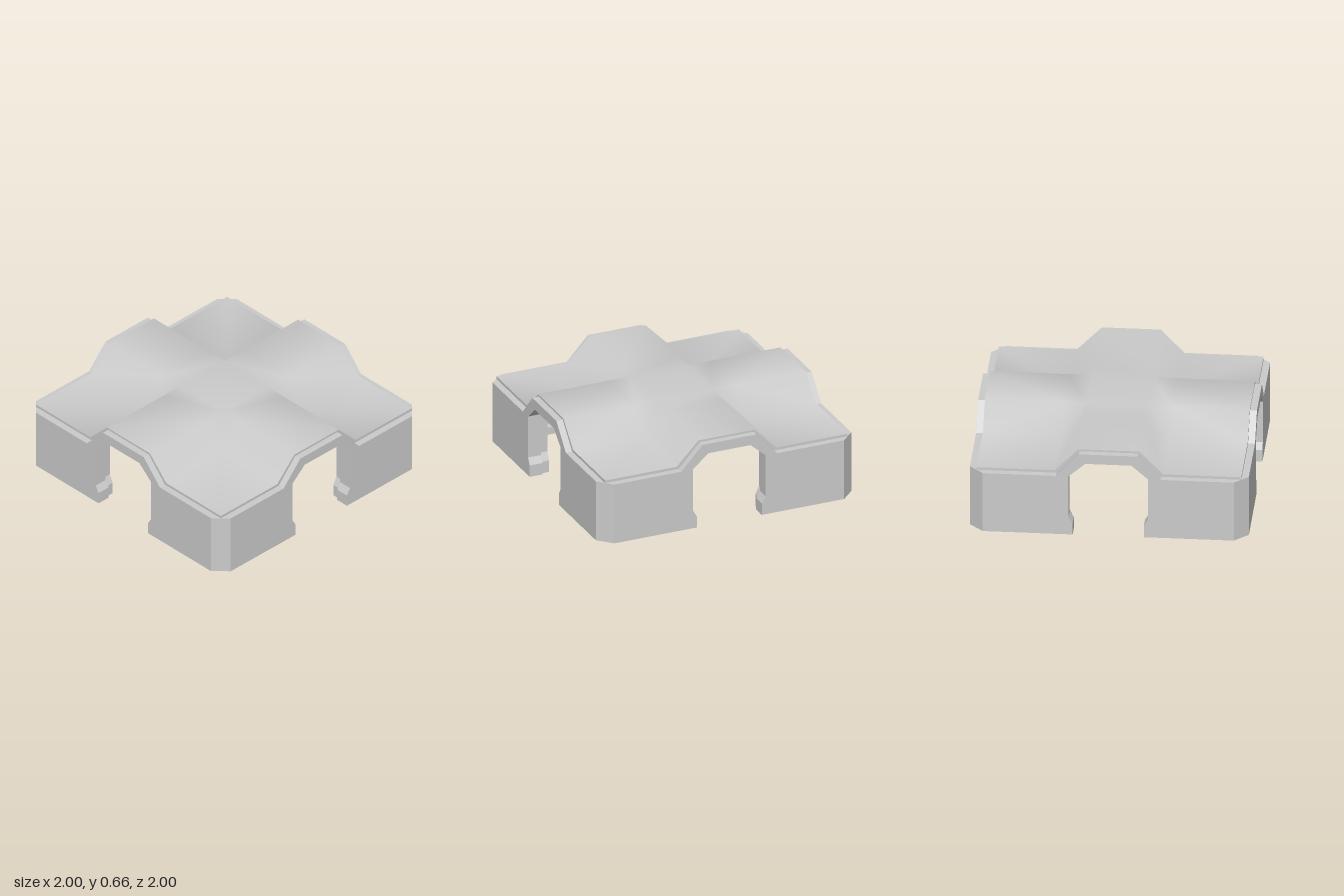
import * as THREE from 'three';

const grey = new THREE.MeshStandardMaterial({ color: 0xcccccc });
const greyDouble = new THREE.MeshStandardMaterial({ color: 0xcccccc, side: THREE.DoubleSide });

function add(parent, name, geometry, material = grey) {
  const mesh = new THREE.Mesh(geometry, material);
  mesh.name = name;
  parent.add(mesh);
  return mesh;
}

// Mirror a right-hand outline across x = 0 to close it
function mirrored(half) {
  return [...half, ...half.map(([x, y]) => [-x, y]).reverse()];
}

function extrude(points, z0, z1) {
  const shape = new THREE.Shape(points.map(([x, y]) => new THREE.Vector2(x, y)));
  return new THREE.ExtrudeGeometry(shape, { depth: z1 - z0, bevelEnabled: false }).translate(0, 0, z0);
}

// Upright prism from a plan outline given as [x, z]
function prism(plan, y0, y1) {
  return extrude(plan.map(([x, z]) => [x, -z]), y0, y1).rotateX(-Math.PI / 2);
}

function box(x0, x1, y0, y1, z0, z1) {
  return new THREE.BoxGeometry(x1 - x0, y1 - y0, z1 - z0)
    .translate((x0 + x1) / 2, (y0 + y1) / 2, (z0 + z1) / 2);
}

// Two crossing ridges: grid lines sit on the slope breaks, height is the higher ridge
const EDGE = 0.95;
function crossSurface(inner, outer, low, high) {
  const t = [-EDGE, -outer, -inner, inner, outer, EDGE];
  const ridge = v => {
    const k = THREE.MathUtils.clamp((Math.abs(v) - inner) / (outer - inner), 0, 1);
    return THREE.MathUtils.lerp(high, low, k);
  };
  const n = t.length, points = [], index = [];
  for (const x of t) for (const z of t) points.push([x, Math.max(ridge(x), ridge(z)), z]);
  for (let i = 0; i < n - 1; i++) for (let j = 0; j < n - 1; j++) {
    const a = i * n + j, b = a + 1, d = a + n, c = d + 1;
    const sameSign = (t[i] + t[i + 1]) * (t[j] + t[j + 1]) >= 0;
    if (sameSign) index.push(a, b, c, a, c, d);
    else index.push(a, b, d, b, c, d);
  }
  return { points, index, n };
}

function surfaceGeometry({ points, index }, flip) {
  const g = new THREE.BufferGeometry();
  g.setAttribute('position', new THREE.Float32BufferAttribute(points.flat(), 3));
  g.setIndex(flip ? [...index].reverse() : index);
  g.computeVertexNormals();
  return g;
}

// Narrow strip closing the roof slab around its four edges
function rimGeometry(top, bottom) {
  const n = top.n, loop = [], pos = [];
  for (let k = 0; k < n - 1; k++) loop.push(k);
  for (let k = 0; k < n - 1; k++) loop.push(k * n + n - 1);
  for (let k = n - 1; k > 0; k--) loop.push((n - 1) * n + k);
  for (let k = n - 1; k > 0; k--) loop.push(k * n);
  loop.forEach((p, k) => {
    const q = loop[(k + 1) % loop.length];
    const a = bottom.points[p], b = bottom.points[q], c = top.points[q], d = top.points[p];
    pos.push(...a, ...b, ...c, ...a, ...c, ...d);
  });
  const g = new THREE.BufferGeometry();
  g.setAttribute('position', new THREE.Float32BufferAttribute(pos, 3));
  g.computeVertexNormals();
  return g;
}

function createRoof() {
  const roof = new THREE.Group();
  roof.name = 'roof';
  const top = crossSurface(0.22, 0.39, 0.485, 0.66);
  const bottom = crossSurface(0.21, 0.375, 0.465, 0.645);
  add(roof, 'roofTop', surfaceGeometry(top, false));
  add(roof, 'ceiling', surfaceGeometry(bottom, true));
  add(roof, 'roofRim', rimGeometry(top, bottom), greyDouble);
  return roof;
}

// One open end with its portal, wall panels, ribs and corner post
function createSide() {
  const side = new THREE.Group();
  side.name = 'side';

  // Portal wall with a flared foot at each jamb
  const opening = [[0.255, 0], [0.255, 0.09], [0.285, 0.14], [0.285, 0.465], [0.165, 0.57]];
  const portal = mirrored([...opening].reverse().concat([[0.9, 0], [0.9, 0.465], [0.375, 0.465], [0.21, 0.645]]));
  add(side, 'portalWall', extrude(portal, 0.9, 1));

  // Inner arch rib, set back from the opening edge
  const ribInner = [[0.275, 0], [0.275, 0.09], [0.305, 0.15], [0.305, 0.47], [0.172, 0.59]];
  const ribOuter = [[0.19, 0.635], [0.355, 0.485], [0.355, 0.15], [0.335, 0.09], [0.335, 0]];
  const right = [...ribInner].reverse();
  add(side, 'archRib', extrude(mirrored([...right, ...[...ribOuter].reverse()]), 0.84, 0.9));

  for (const s of [-1, 1]) {
    const span = (name, x0, x1, y0, y1, z0) =>
      add(side, name, box(Math.min(s * x0, s * x1), Math.max(s * x0, s * x1), y0, y1, z0, 0.9));
    span('sill', 0.3, 0.9, 0, 0.055, 0.84);
    span('topRail', 0.35, 0.9, 0.42, 0.465, 0.86);
    span('innerPanel', 0.41, 0.76, 0.09, 0.4, 0.88);
  }

  // Chamfered outer corner and slanted inner post
  add(side, 'cornerPost', prism([[0.9, 1], [1, 0.9], [0.9, 0.9]], 0, 0.465));
  add(side, 'innerCornerPost', prism([[0.9, 0.9], [0.9, 0.79], [0.79, 0.9]], 0, 0.465));
  return side;
}

export function createModel() {
  const model = new THREE.Group();
  model.name = 'corridorCrossing';
  model.add(createRoof());
  ['front', 'left', 'back', 'right'].forEach((name, k) => {
    const side = createSide();
    side.name = name + 'Side';
    side.rotation.y = k * Math.PI / 2;
    model.add(side);
  });
  return model;
}
